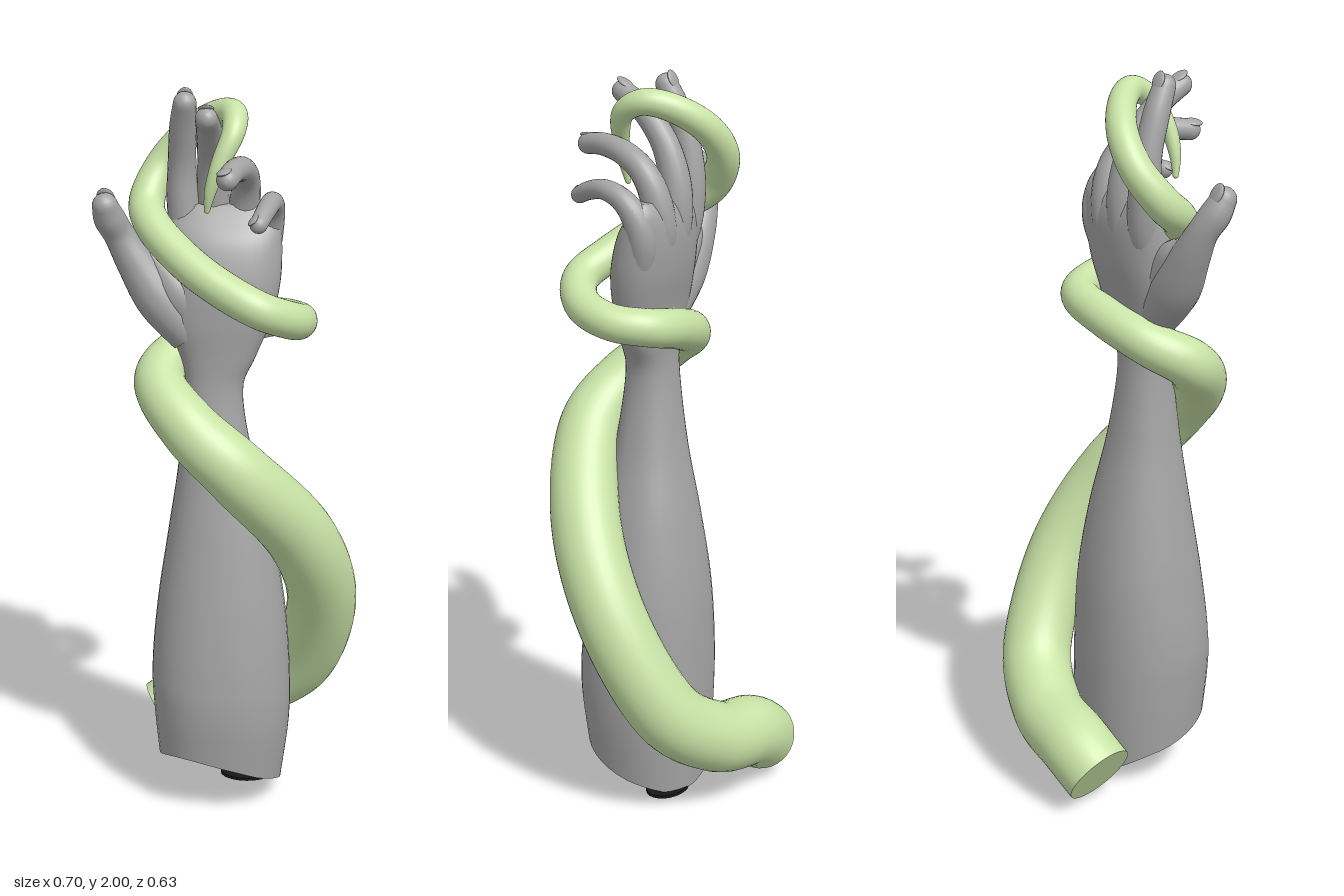
import * as THREE from 'three';

const paint = (name, color) => {
  const m = new THREE.MeshStandardMaterial({ color });
  m.name = name;
  return m;
};
const skin = paint('stone grey', 0xa4a4a4);
const green = paint('pale green', 0xc8e2a6);
const dark = paint('near black', 0x161616);

// Smooth interpolation of rows of numbers, n steps per span
function sample(rows, n) {
  const out = [];
  const at = (i) => rows[Math.min(Math.max(i, 0), rows.length - 1)];
  for (let i = 0; i < rows.length - 1; i++) {
    for (let k = 0; k < n; k++) {
      const t = k / n;
      out.push(rows[i].map((_, c) => {
        const a = at(i - 1)[c], b = at(i)[c], d = at(i + 1)[c], e = at(i + 2)[c];
        const m0 = (d - a) / 2, m1 = (e - b) / 2;
        return (2 * t ** 3 - 3 * t * t + 1) * b + (t ** 3 - 2 * t * t + t) * m0
          + (3 * t * t - 2 * t ** 3) * d + (t ** 3 - t * t) * m1;
      }));
    }
  }
  out.push(rows[rows.length - 1]);
  return out;
}

// Skin over a list of rings; sharp-edged cap at the start, smooth fan at the end
function loft(rings) {
  const pos = [], idx = [], s = rings[0].length;
  const add = (p) => pos.push(p.x, p.y, p.z) / 3 - 1;
  rings.forEach((r) => r.forEach(add));
  for (let i = 0; i < rings.length - 1; i++) {
    for (let j = 0; j < s; j++) {
      const a = i * s + j, b = i * s + (j + 1) % s;
      idx.push(a, b, a + s, b, b + s, a + s);
    }
  }
  const centre = (r) => r.reduce((v, p) => v.add(p), new THREE.Vector3()).divideScalar(s);
  const c0 = add(centre(rings[0]));
  rings[0].forEach(add);
  const last = (rings.length - 1) * s;
  const c1 = add(centre(rings[rings.length - 1]));
  for (let j = 0; j < s; j++) {
    const k = (j + 1) % s;
    idx.push(c0, c0 + 1 + k, c0 + 1 + j, last + j, last + k, c1);
  }
  const g = new THREE.BufferGeometry();
  g.setAttribute('position', new THREE.Float32BufferAttribute(pos, 3));
  g.setIndex(idx);
  g.computeVertexNormals();
  return g;
}

// Tapered round tube through [x, y, z, radius] points with a domed tip
function taperedTube(points, steps, sides) {
  const rows = sample(points, steps);
  const p = rows.map((r) => new THREE.Vector3(r[0], r[1], r[2]));
  const normal = new THREE.Vector3(0.31, 0.2, 0.93);
  const rings = [];
  let tangent;
  const ring = (c, r) => {
    const side = new THREE.Vector3().crossVectors(tangent, normal);
    rings.push(Array.from({ length: sides }, (_, j) => {
      const a = (j / sides) * Math.PI * 2;
      return c.clone().addScaledVector(normal, r * Math.cos(a)).addScaledVector(side, r * Math.sin(a));
    }));
  };
  p.forEach((c, i) => {
    tangent = p[Math.min(i + 1, p.length - 1)].clone().sub(p[Math.max(i - 1, 0)]).normalize();
    normal.addScaledVector(tangent, -normal.dot(tangent)).normalize();
    ring(c, rows[i][3]);
  });
  const end = p[p.length - 1], r = rows[rows.length - 1][3];
  for (let k = 1; k <= 5; k++) {
    const a = (k / 5.3) * Math.PI / 2;
    ring(end.clone().addScaledVector(tangent, r * Math.sin(a)), r * Math.cos(a));
  }
  return { geometry: loft(rings), end, tangent, radius: r };
}

// Forearm, wrist and palm: [y, xMin, xMax, zMin, zMax]
const armRows = [
  [0, -0.195, 0.145, -0.1, 0.235],
  [0.2, -0.207, 0.167, -0.11, 0.247],
  [0.4, -0.212, 0.168, -0.11, 0.245],
  [0.6, -0.195, 0.152, -0.1, 0.222],
  [0.8, -0.165, 0.117, -0.07, 0.19],
  [1.0, -0.135, 0.067, -0.03, 0.157],
  [1.2, -0.117, 0.037, -0.005, 0.132],
  [1.3, -0.13, 0.072, -0.005, 0.13],
  [1.4, -0.165, 0.113, -0.02, 0.135],
  [1.5, -0.165, 0.135, -0.042, 0.132],
  [1.6, -0.16, 0.138, -0.05, 0.105],
  [1.66, -0.15, 0.132, -0.04, 0.062],
  [1.695, -0.12, 0.105, -0.02, 0.03],
];

function armGeometry() {
  const sides = 40;
  const soft = (v) => Math.sign(v) * Math.abs(v) ** 0.9;
  return loft(sample(armRows, 6).map(([y, x0, x1, z0, z1]) =>
    Array.from({ length: sides }, (_, j) => {
      const a = (j / sides) * Math.PI * 2;
      const x = (x0 + x1) / 2 + (x1 - x0) / 2 * soft(Math.sin(a));
      const z = (z0 + z1) / 2 + (z1 - z0) / 2 * soft(Math.cos(a));
      // curved cut below the elbow, lowest at the back
      const rim = 0.01 + 2.6 * Math.max(0, z) ** 2 + (x > 0.06 ? 5 : 1.7) * (x - 0.06) ** 2;
      return new THREE.Vector3(x, y < 0.4 ? rim + (0.4 - rim) * y / 0.4 : y, z);
    })));
}

// Digits: [x, y, z, radius] from the palm to the tip
const digits = {
  thumb: [[-0.1, 1.36, 0.06, 0.06], [-0.178, 1.45, 0.055, 0.066], [-0.24, 1.545, 0.05, 0.053],
    [-0.283, 1.62, 0.055, 0.041], [-0.307, 1.67, 0.077, 0.041], [-0.317, 1.708, 0.095, 0.034]],
  indexFinger: [[-0.09, 1.48, 0.035, 0.035], [-0.108, 1.59, 0.005, 0.043], [-0.12, 1.7, -0.003, 0.043],
    [-0.122, 1.8, 0.005, 0.037], [-0.118, 1.9, 0.035, 0.035], [-0.112, 1.967, 0.065, 0.03]],
  middleFinger: [[-0.035, 1.48, 0.03, 0.035], [-0.038, 1.59, -0.006, 0.043], [-0.042, 1.71, -0.008, 0.043],
    [-0.045, 1.82, 0.025, 0.037], [-0.05, 1.905, 0.095, 0.033], [-0.055, 1.948, 0.165, 0.029]],
  ringFinger: [[0.02, 1.48, 0.03, 0.035], [0.03, 1.59, -0.006, 0.043], [0.04, 1.69, 0.0, 0.041],
    [0.044, 1.765, 0.037, 0.036], [0.033, 1.806, 0.105, 0.033], [0.013, 1.817, 0.182, 0.03],
    [-0.002, 1.81, 0.24, 0.028]],
  littleFinger: [[0.08, 1.48, 0.03, 0.035], [0.096, 1.58, 0.008, 0.04], [0.107, 1.65, 0.018, 0.037],
    [0.113, 1.7, 0.055, 0.031], [0.108, 1.721, 0.113, 0.027], [0.092, 1.71, 0.172, 0.025],
    [0.076, 1.69, 0.216, 0.023]],
};

// Flesh between thumb and palm
const thumbWeb = [[-0.08, 1.4, 0.06, 0.06], [-0.13, 1.47, 0.058, 0.062], [-0.18, 1.535, 0.045, 0.045],
  [-0.215, 1.565, 0.045, 0.03]];

// Coiling vine: [x, y, z, radius] from the thick cut end to the thin tip
const vinePath = [
  [-0.192, 0.115, -0.207, 0.098], [-0.095, 0.172, -0.218, 0.099], [0.06, 0.215, -0.2, 0.098],
  [0.205, 0.335, -0.13, 0.097], [0.256, 0.58, 0.0, 0.096], [0.19, 0.815, 0.13, 0.095],
  [0.03, 1.02, 0.225, 0.088], [-0.1, 1.14, 0.197, 0.078], [-0.182, 1.235, 0.1, 0.068],
  [-0.13, 1.295, 0.005, 0.06], [0.0, 1.345, -0.04, 0.055], [0.12, 1.375, -0.035, 0.051],
  [0.18, 1.392, 0.05, 0.049], [0.163, 1.42, 0.15, 0.049], [0.08, 1.465, 0.213, 0.049],
  [-0.02, 1.515, 0.185, 0.049], [-0.11, 1.57, 0.13, 0.049], [-0.193, 1.64, 0.05, 0.048],
  [-0.215, 1.695, -0.02, 0.047], [-0.175, 1.78, -0.072, 0.044], [-0.11, 1.86, -0.067, 0.041],
  [-0.04, 1.918, -0.015, 0.038], [0.01, 1.94, 0.055, 0.035], [0.012, 1.905, 0.12, 0.03],
  [-0.022, 1.83, 0.15, 0.023], [-0.045, 1.765, 0.155, 0.016], [-0.055, 1.71, 0.15, 0.008],
];

export function createModel() {
  const model = new THREE.Group();
  model.name = 'armWithVine';
  const add = (geometry, material, name, parent = model) => {
    const mesh = new THREE.Mesh(geometry, material);
    mesh.name = name;
    parent.add(mesh);
    return mesh;
  };

  add(armGeometry(), skin, 'forearmAndPalm');
  add(taperedTube(thumbWeb, 6, 20).geometry, skin, 'thumbWeb');

  // dark patch under the lowest edge of the cut
  const patch = add(new THREE.CylinderGeometry(1, 1, 0.008, 24), dark, 'cutPatch');
  patch.scale.set(0.075, 1, 0.055);
  patch.position.set(0.05, 0.012, -0.042);

  for (const [name, points] of Object.entries(digits)) {
    const digit = new THREE.Group();
    digit.name = name;
    model.add(digit);
    const { geometry, end, tangent, radius } = taperedTube(points, 6, 20);
    add(geometry, skin, name + 'Flesh', digit);
    // nail on the back of the tip
    const up = new THREE.Vector3(0, 0.7, -0.7);
    up.addScaledVector(tangent, -up.dot(tangent)).normalize();
    const side = new THREE.Vector3().crossVectors(up, tangent);
    const nail = add(new THREE.SphereGeometry(1, 14, 10), skin, name + 'Nail', digit);
    nail.quaternion.setFromRotationMatrix(new THREE.Matrix4().makeBasis(side, up, tangent));
    nail.scale.set(radius * 0.7, radius * 0.25, radius * 0.9);
    nail.position.copy(end).addScaledVector(up, radius * 0.82).addScaledVector(tangent, radius * 0.15);
  }

  add(taperedTube(vinePath, 9, 32).geometry, green, 'vine');
  return model;
}
